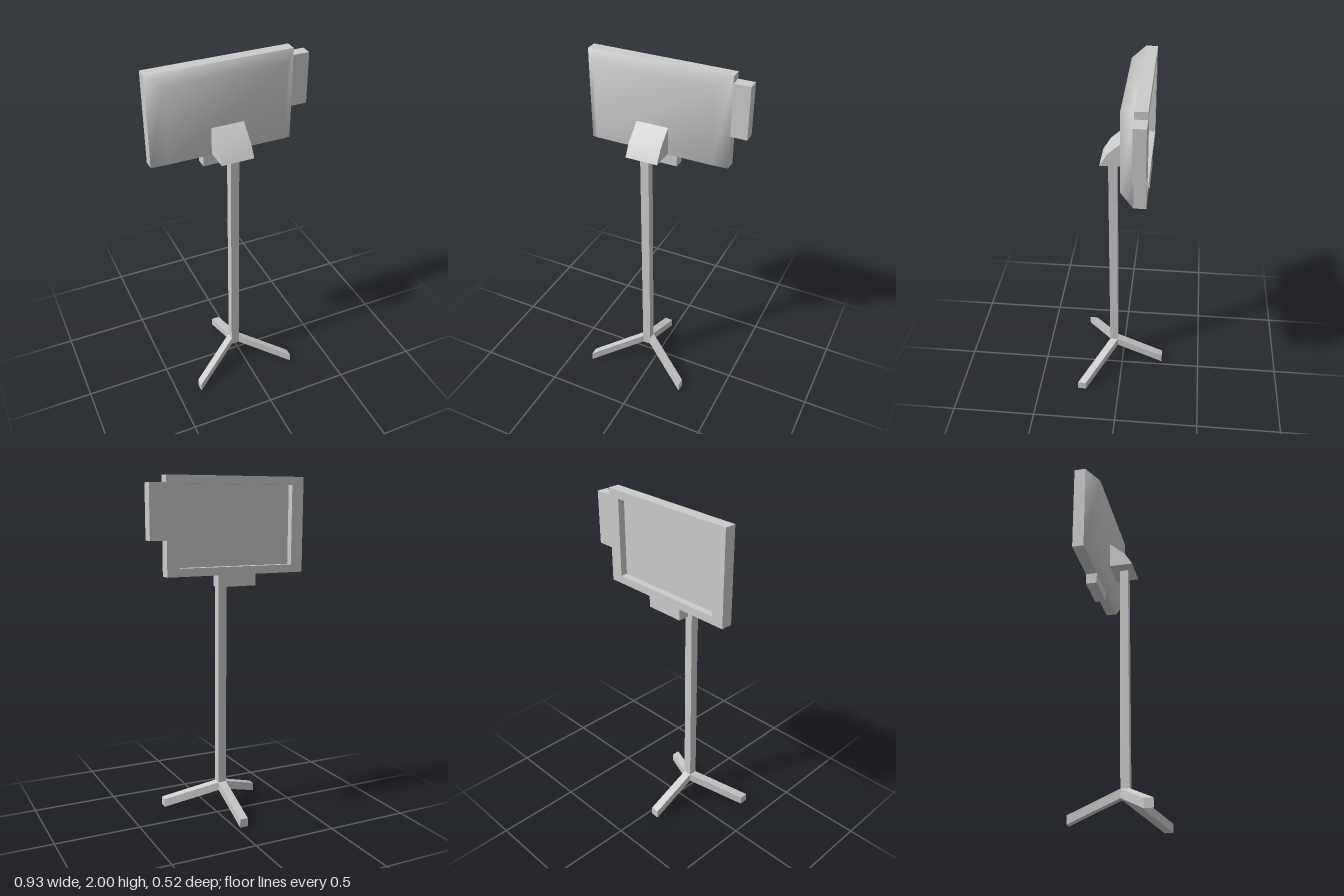
import * as THREE from 'three';
import { mergeVertices, toCreasedNormals } from 'three/addons/utils/BufferGeometryUtils.js';

const CX = -0.05;                                  // pole and screen share this centre line
const SCREEN = { w: 0.836, h: 0.535, y: 1.7325 };  // outer size and centre height
const INSET = { x: 0.073, y: 0.045 };              // rim width, also the bevel width
const BACK = -0.157, MID = -0.091, FRONT = -0.017;

export function createModel() {
  const group = new THREE.Group();
  const material = new THREE.MeshStandardMaterial({ color: 0xcccccc });

  const add = (name, geometry) => {
    const mesh = new THREE.Mesh(geometry, material);
    mesh.name = name;
    group.add(mesh);
    return mesh;
  };
  const box = (name, x0, x1, y0, y1, z0, z1) =>
    add(name, new THREE.BoxGeometry(x1 - x0, y1 - y0, z1 - z0)
      .translate((x0 + x1) / 2, (y0 + y1) / 2, (z0 + z1) / 2));

  // A unit box sheared onto three edge vectors
  const shearedBox = (name, centre, ex, ey, ez) => {
    const m = new THREE.Matrix4()
      .makeBasis(new THREE.Vector3(...ex), new THREE.Vector3(...ey), new THREE.Vector3(...ez))
      .setPosition(...centre);
    add(name, new THREE.BoxGeometry(1, 1, 1).applyMatrix4(m));
  };

  // Pole
  box('pole', CX - 0.025, CX + 0.025, 0.13, 1.516, 0.03, 0.08);

  // Three splayed legs, each a square bar sheared away from a pole side
  for (const s of [-1, 1]) {
    shearedBox(s < 0 ? 'frontLegRight' : 'frontLegLeft',
      [CX + s * 0.168, 0.0905, 0.1435],
      [0.286, -s * 0.126, s * 0.177], [0, 0.05, 0], [0, 0, 0.05]);
  }
  shearedBox('backLeg', [CX, 0.0905, -0.115],
    [0.05, 0, 0], [0, 0.05, 0], [0, 0.126, 0.29]);

  // Screen frame with a rectangular opening in the back
  const rectangle = (PathType, w, h) => new PathType([
    [-w, -h], [w, -h], [w, h], [-w, h],
  ].map(([x, y]) => new THREE.Vector2(x / 2, y / 2)));
  const innerW = SCREEN.w - 2 * INSET.x, innerH = SCREEN.h - 2 * INSET.y;
  const rim = rectangle(THREE.Shape, SCREEN.w, SCREEN.h);
  rim.holes.push(rectangle(THREE.Path, innerW, innerH));
  add('screenFrame', new THREE.ExtrudeGeometry(rim, { depth: MID - BACK, bevelEnabled: false })
    .translate(CX, SCREEN.y, BACK));

  // Recessed display surface, facing back
  add('display', new THREE.PlaneGeometry(innerW, innerH)
    .rotateY(Math.PI).translate(CX, SCREEN.y, BACK + 0.04));

  // Smooth shaded housing: an open-backed box tapered towards the front
  const housing = new THREE.BoxGeometry(SCREEN.w, SCREEN.h, FRONT - MID);
  const p = housing.attributes.position;
  for (let i = 0; i < p.count; i++) {
    if (p.getZ(i) > 0) {
      p.setX(i, p.getX(i) - Math.sign(p.getX(i)) * INSET.x);
      p.setY(i, p.getY(i) - Math.sign(p.getY(i)) * INSET.y);
    }
  }
  housing.setIndex(Array.from(housing.index.array).slice(0, 30)); // drop the back face
  housing.clearGroups();
  housing.deleteAttribute('normal');
  housing.deleteAttribute('uv');
  const smooth = mergeVertices(housing);
  smooth.computeVertexNormals();
  add('screenHousing', smooth.translate(CX, SCREEN.y, (MID + FRONT) / 2));

  // Tabs on the side and bottom of the screen
  box('sideTab', 0.368, 0.463, 1.66, 1.96, BACK, MID);
  box('bottomTab', -0.165, 0.065, 1.4, 1.465, BACK, MID);

  // Wedge bracket joining the pole to the housing
  const profile = new THREE.Shape([
    [FRONT, 1.516], [0.12, 1.516], [0.075, 1.59], [FRONT, 1.672],
  ].map(([z, y]) => new THREE.Vector2(z, y)));
  const bracket = new THREE.ExtrudeGeometry(profile, { depth: 0.188, bevelEnabled: false })
    .rotateY(-Math.PI / 2).translate(0.045, 0, 0);
  add('bracket', toCreasedNormals(bracket, 0.5));

  return group;
}
